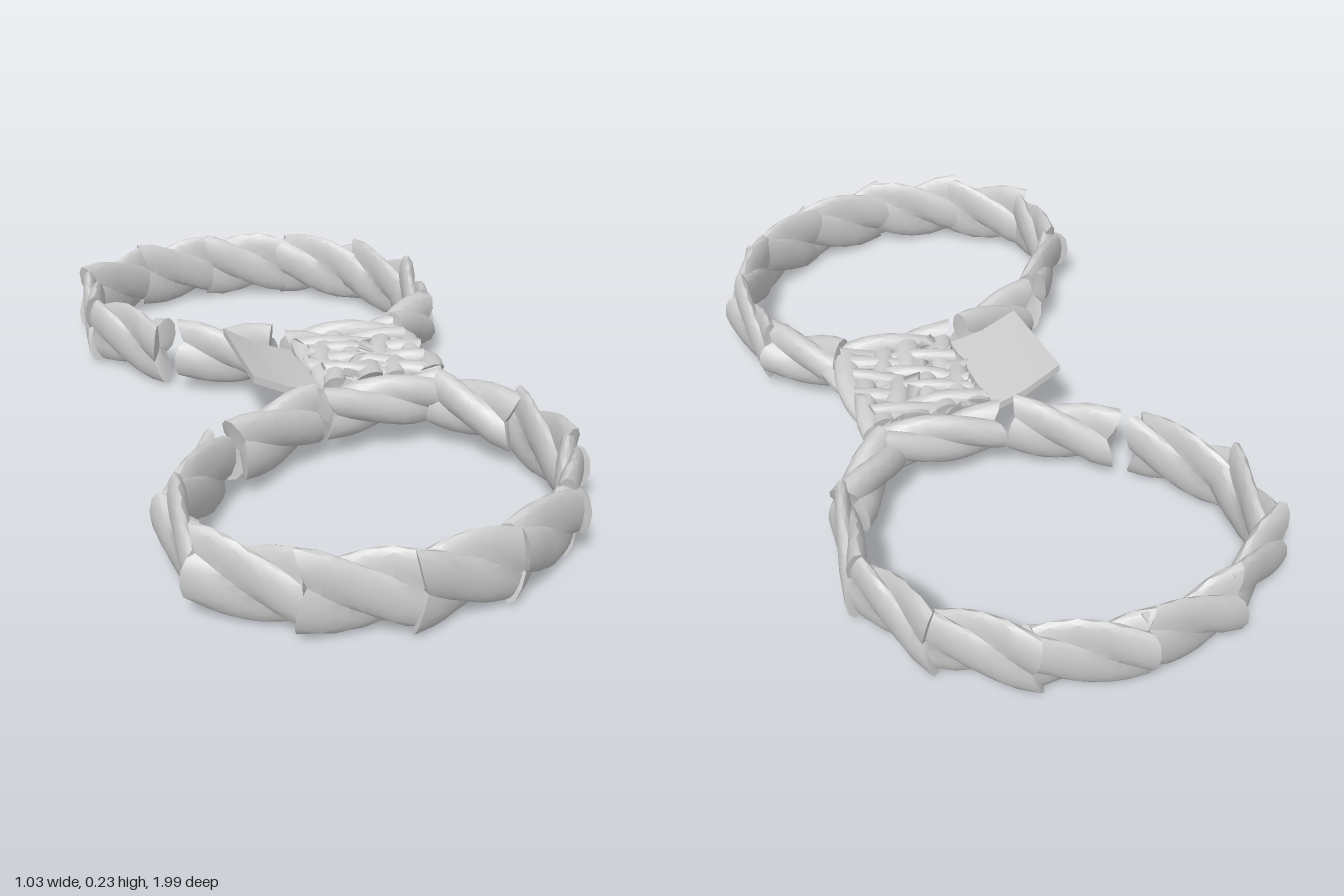
import * as THREE from 'three';
import { toCreasedNormals } from 'three/addons/utils/BufferGeometryUtils.js';

const material = new THREE.MeshStandardMaterial({ color: 0xcccccc, side: THREE.DoubleSide });
const SIDES = 18, STEPS = 8;

// Straight length of three-strand rope with a flattened section:
// a = half width across, b = half height, flare widens the ragged far end.
function ropePiece(name, p0, p1, a, b, phase = 0, turn = 11, flare = 0.25) {
  const start = new THREE.Vector3(...p0), end = new THREE.Vector3(...p1);
  const dir = end.clone().sub(start), length = dir.length();
  dir.normalize();
  const across = new THREE.Vector3(0, 1, 0).cross(dir).normalize();
  const up = dir.clone().cross(across);
  const pos = [], index = [];
  for (let i = 0; i <= STEPS; i++) {
    const t = i / STEPS;
    const grow = 1 + flare * Math.max(0, t - 0.6) / 0.4;
    for (let j = 0; j < SIDES; j++) {
      const u = j / SIDES * Math.PI * 2;
      const lobe = Math.abs(Math.sin(1.5 * u));
      const r = 0.64 + 0.36 * lobe * grow;
      const angle = u + phase + turn * t * length;
      const rag = (t === 1 ? 0.025 : t === 0 ? -0.01 : 0) * lobe;
      const p = start.clone().addScaledVector(dir, t * length + rag)
        .addScaledVector(across, a * r * grow * Math.cos(angle))
        .addScaledVector(up, b * r * Math.sin(angle));
      pos.push(p.x, p.y, p.z);
      if (i < STEPS) {
        const k = i * SIDES + j, n = i * SIDES + (j + 1) % SIDES;
        index.push(k, n, k + SIDES, n, n + SIDES, k + SIDES);
      }
    }
  }
  // end caps
  const c = pos.length / 3, last = STEPS * SIDES;
  pos.push(...p0, ...p1);
  for (let j = 0; j < SIDES; j++) {
    const n = (j + 1) % SIDES;
    index.push(c, n, j, c + 1, last + j, last + n);
  }
  const g = new THREE.BufferGeometry();
  g.setAttribute('position', new THREE.Float32BufferAttribute(pos, 3));
  g.setIndex(index);
  const mesh = new THREE.Mesh(toCreasedNormals(g, 0.6), material);
  mesh.name = name;
  return mesh;
}

// One loop; side = +1 front, -1 back. The joints run round from the knot.
function ropeLoop(side) {
  const loop = new THREE.Group();
  loop.name = side > 0 ? 'frontLoop' : 'backLoop';
  const joints = [[0.44, 0.34], [0.467, 0.565], [0.372, 0.77], [0.19, 0.9], [-0.04, 0.952],
    [-0.265, 0.905], [-0.45, 0.765], [-0.463, 0.55], [-0.325, 0.35]];
  let phase = 0.4;
  for (let i = 0; i + 1 < joints.length; i++) {
    const [x0, z0] = joints[i], [x1, z1] = joints[i + 1];
    loop.add(ropePiece('loopRope', [x0, 0.11, side * z0], [x1, 0.11, side * z1], 0.034, 0.097, phase));
    phase += 11 * Math.hypot(x1 - x0, z1 - z0);
  }
  // broad lead-in, loose tail, and the length lying along the knot
  loop.add(ropePiece('leadIn', [0.29, 0.13, side * 0.19], [0.42, 0.115, side * 0.335], 0.055, 0.08, 0.8, 11, 0.1));
  loop.add(ropePiece('looseTail', [-0.05, 0.125, side * 0.19], [-0.255, 0.11, side * 0.3], 0.046, 0.088, 0.3, 11, 0.15));
  loop.add(ropePiece('knotEdge', [0.29, 0.135, side * 0.18], [0.01, 0.125, side * 0.185], 0.048, 0.072, 1.2, 11, 0.1));
  return loop;
}

// Crumpled square of crossing strands between the loops, with a raised end beside it
function knot() {
  const group = new THREE.Group();
  group.name = 'knot';
  for (let i = 0; i < 4; i++) {
    const x = 0.04 + i * 0.08, s = i % 2 ? 1 : -1;
    group.add(ropePiece('knotWrap', [x, 0.155, -0.135 * s], [x + 0.01, 0.155, 0.125 * s], 0.052, 0.042, i, 15, 0.2));
  }
  for (let i = 0; i < 4; i++) {
    const z = -0.1 + i * 0.065, s = i % 2 ? 1 : -1, skew = 0.03 * Math.sin(i * 2.4);
    group.add(ropePiece('knotCross', [0.155 - 0.13 * s, 0.165, z - skew], [0.155 + 0.13 * s, 0.155, z + skew],
      0.036, 0.04, i * 1.3, 13, 0.3));
  }
  // flat split strands lying crumpled over the top
  for (let i = 0; i < 12; i++) {
    const strand = new THREE.Mesh(new THREE.ConeGeometry(0.026, 0.11, 4), material);
    strand.name = 'splitStrand';
    strand.scale.z = 0.3;
    strand.position.set(0.05 + (i % 4) * 0.07, 0.18, -0.09 + Math.floor(i / 4) * 0.09);
    strand.rotation.set(1.4 + 0.2 * Math.sin(i * 2.1), 0.4 * Math.cos(i * 3.7), i * 1.9);
    group.add(strand);
  }
  // wide flat end: rises away from the knot, twisted and creased along its middle
  const flap = new THREE.BoxGeometry(0.18, 0.02, 0.28, 4, 1, 6);
  const p = flap.attributes.position;
  for (let i = 0; i < p.count; i++) {
    const x = p.getX(i), z = p.getZ(i);
    p.setX(i, x + 0.04 * z);
    p.setY(i, p.getY(i) - x * (0.4 - 0.5 * z) - 0.012 * (1 - Math.abs(x) / 0.09));
  }
  const flapMesh = new THREE.Mesh(toCreasedNormals(flap, 0.3), material);
  flapMesh.name = 'flap';
  flapMesh.position.set(-0.095, 0.185, 0);
  group.add(flapMesh);
  return group;
}

export function createModel() {
  const model = new THREE.Group();
  model.name = 'ropeCuffs';
  model.add(ropeLoop(1), ropeLoop(-1), knot());
  return model;
}
